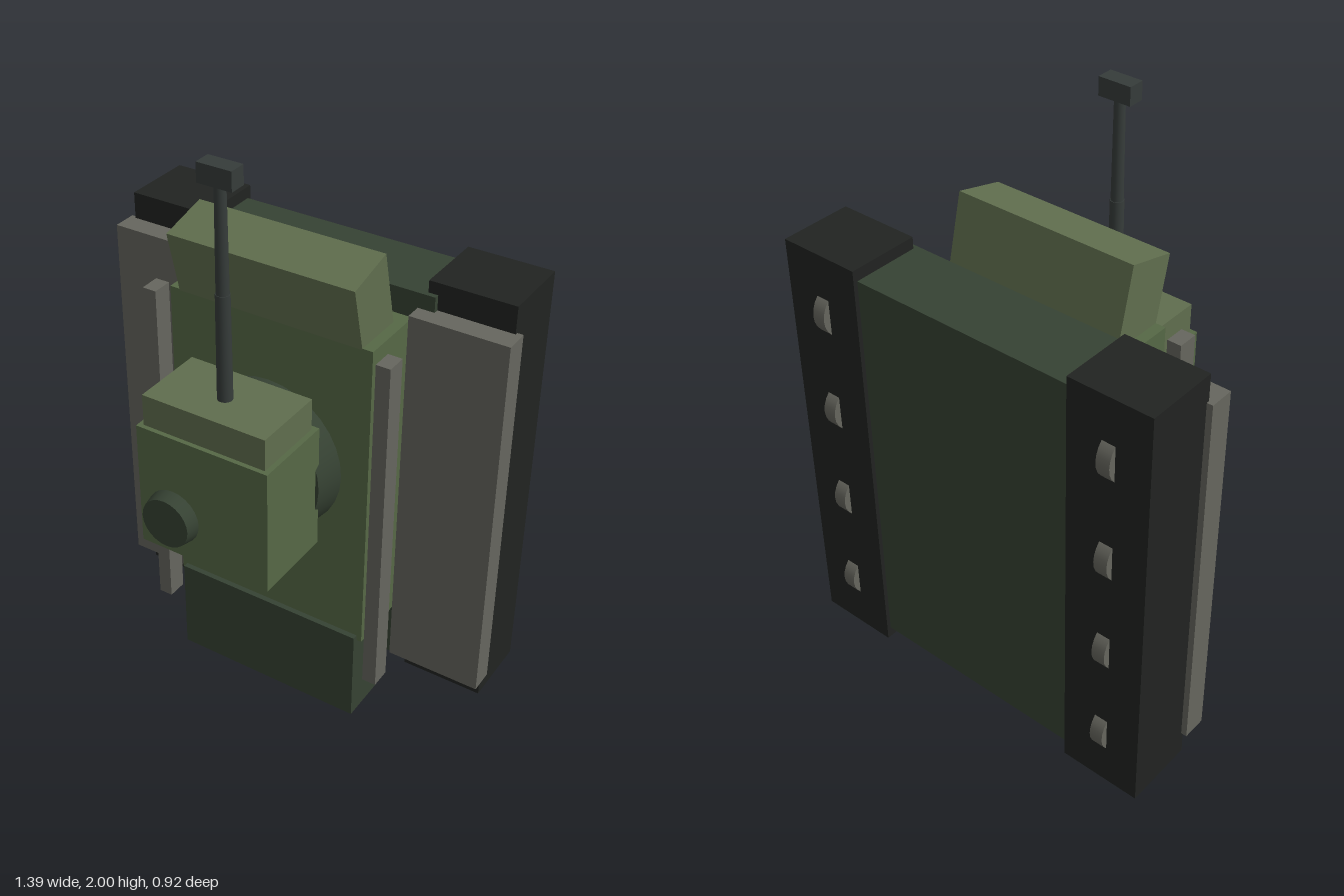
import * as THREE from 'three';

const paint = (color) => new THREE.MeshStandardMaterial({ color });

export function createModel() {
  const tank = new THREE.Group();
  tank.name = 'tank';
  const green = paint(0x566846), darkGreen = paint(0x364233), olive = paint(0x606e4e);
  const rubber = paint(0x212321), steel = paint(0x66665e), gunmetal = paint(0x363c3a);

  const add = (name, geometry, material, x = 0, y = 0, z = 0) => {
    const mesh = new THREE.Mesh(geometry, material);
    mesh.name = name;
    mesh.position.set(x, y, z);
    tank.add(mesh);
    return mesh;
  };
  // Box given by its extents along each axis
  const box = (name, material, [x0, x1], [y0, y1], [z0, z1]) =>
    add(name, new THREE.BoxGeometry(x1 - x0, y1 - y0, z1 - z0), material,
      (x0 + x1) / 2, (y0 + y1) / 2, (z0 + z1) / 2);

  // Hull, standing on its end
  box('lowerHull', darkGreen, [-0.425, 0.425], [0.095, 1.51], [-0.422, -0.173]);
  box('upperHull', green, [-0.355, 0.355], [0.32, 1.422], [-0.175, 0.058]);
  box('engineDeck', darkGreen, [-0.338, 0.338], [0, 0.34], [-0.095, 0.077]).scale.y = 0.999;
  const glacis = add('glacisPlate', new THREE.BoxGeometry(0.64, 0.4, 0.175), olive, 0, 1.458, -0.022);
  glacis.rotation.x = 0.245;

  // Running gear, mirrored on both sides
  for (const s of [-1, 1]) {
    const span = (a, b) => (s > 0 ? [a, b] : [-b, -a]);
    box('track', rubber, span(0.393, 0.675), [0.055, 1.55], [-0.437, -0.19]);
    box('fender', steel, span(0.37, 0.695), [0.145, 1.46], [-0.2, -0.117]);
    box('sideRail', steel, span(0.385, 0.433), [0.2, 1.41], [0.026, 0.095]);
    for (let i = 0; i < 4; i++) {
      const wheel = add('roadWheel', new THREE.CylinderGeometry(0.086, 0.086, 0.046, 24), steel,
        s * 0.535, 0.265 + i * 0.358, -0.376);
      wheel.rotation.z = Math.PI / 2;
    }
  }

  // Turret
  const ring = add('turretRing', new THREE.CylinderGeometry(0.242, 0.265, 0.11, 32), darkGreen, 0, 0.945, 0.1);
  ring.rotation.x = Math.PI / 2;
  box('turret', green, [-0.23, 0.23], [0.735, 1.16], [0.137, 0.416]);
  box('mantlet', olive, [-0.213, 0.213], [1.15, 1.265], [0.153, 0.401]);
  const cupola = add('cupola', new THREE.CylinderGeometry(0.083, 0.095, 0.06, 24), darkGreen, -0.107, 0.875, 0.431);
  cupola.rotation.x = Math.PI / 2;

  // Gun
  add('gunSleeve', new THREE.CylinderGeometry(0.022, 0.024, 0.36, 20), gunmetal, 0, 1.43, 0.285);
  add('gunBarrel', new THREE.CylinderGeometry(0.017, 0.02, 0.36, 20), gunmetal, 0, 1.77, 0.285);
  box('muzzleBrake', gunmetal, [-0.057, 0.057], [1.94, 2], [0.257, 0.313]);

  return tank;
}
